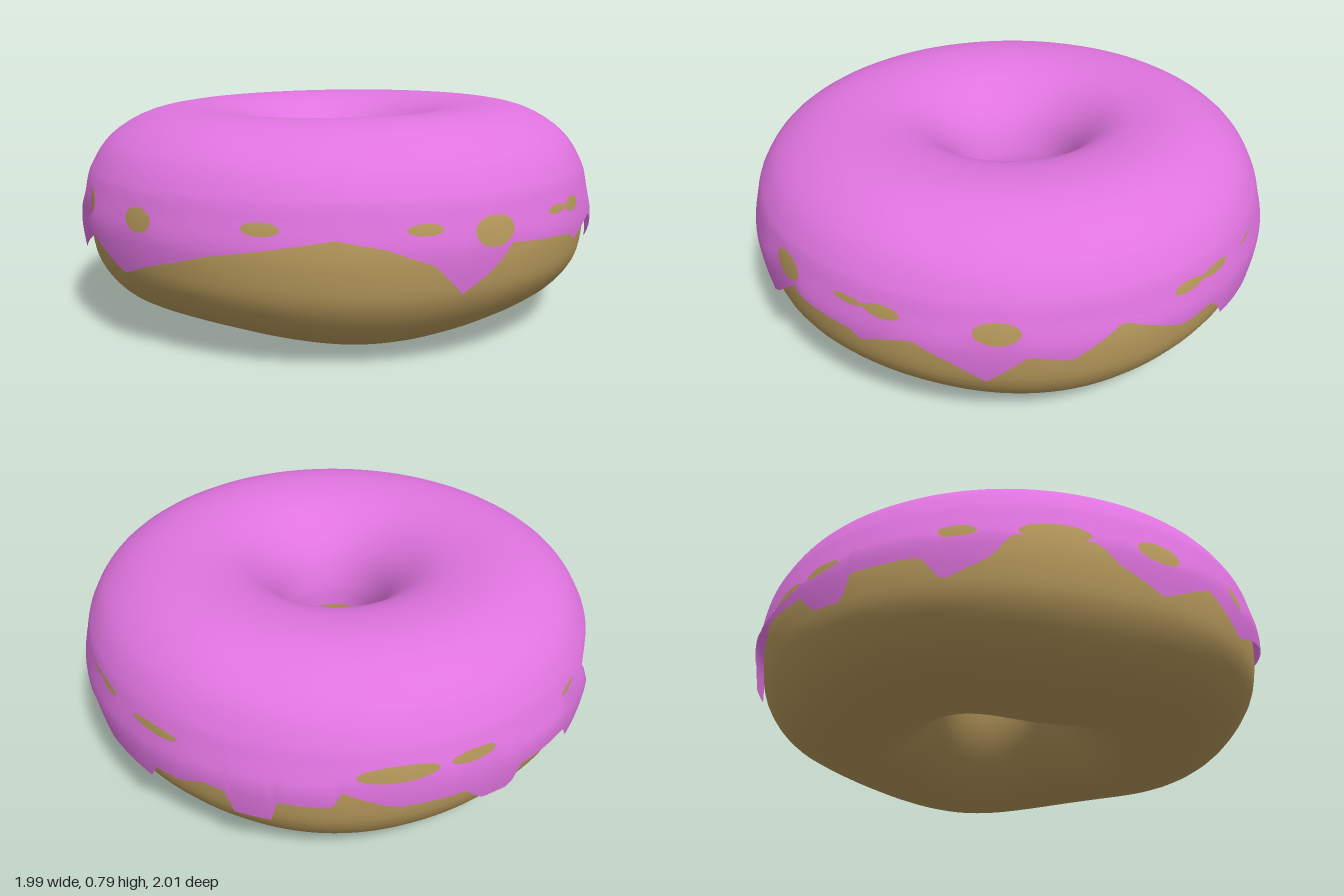
import * as THREE from 'three';

const COLS = 240;
const DEG = Math.PI / 180;

// Drip edge of the icing: [angle in degrees from the front towards +x, height]
const DRIPS = [
  [-68, .42], [-54, .46], [-45, .43], [-36, .37], [-30, .27], [-25, .32], [-18, .41], [-6, .40],
  [0, .39], [2, .36], [6, .39], [13, .42], [21, .35], [27, .28], [35, .39], [43, .36], [53, .47],
  [67, .37], [75, .39], [78, .35], [81, .28], [90, .27], [96, .26], [99, .34], [105, .34],
  [111, .38], [115.5, .37], [116.5, .28], [124.5, .28], [125.5, .37], [136, .36], [138, .42],
  [148, .35], [162, .35], [166, .28], [173.5, .27], [175.5, .36], [190, .36], [194, .27],
  [203, .34], [207.5, .44], [221, .44], [226, .35], [236, .28], [248, .37], [260, .27],
  [268, .32], [282, .39], [292, .42],
];

// Places where the dough shows through: [angle, height, half angle, half height]
const BARE = [
  [-68, .485, 4, .025], [-37, .48, 4, .02], [-22, .465, 4.5, .055], [-2, .48, 4, .016],
  [6, .48, 4, .028], [29, .465, 4.5, .045], [70, .49, 4.5, .025], [79, .49, 5, .023],
  [97, .477, 7, .02], [149, .455, 8, .032], [165, .46, 5, .025], [196, .47, 4, .025],
  [215, .465, 7, .035], [237, .465, 5, .04], [263, .47, 4, .045],
];

function dripHeight(deg) {
  if (deg > 292) deg -= 360;
  for (let k = 1; k < DRIPS.length; k++) {
    const [a0, y0] = DRIPS[k - 1], [a1, y1] = DRIPS[k];
    if (deg <= a1) return THREE.MathUtils.lerp(y0, y1, (deg - a0) / (a1 - a0));
  }
  return .42;
}

// Hand-shaped ring: the hole is off centre and oval, the base has four soft feet, the top leans
function place(r, y, a) {
  const inner = THREE.MathUtils.clamp((.97 - r) / .78, 0, 1);
  const rr = r + .013 * inner * inner * Math.cos(2 * (a - 135 * DEG));
  const low = Math.max(0, 1 - y / .35);
  const high = Math.max(0, (y - .5) / .3);
  return new THREE.Vector3(
    rr * Math.sin(a) + .025 * inner,
    y + .022 * low * Math.cos(4 * a) + .01 * high * Math.cos(a - 60 * DEG),
    rr * Math.cos(a) - .015 * inner);
}

// Sweeps rows of points round the ring; closed joins the last row to the first
function ring(rows, closed, point) {
  const pos = [], index = [];
  for (let i = 0; i < rows; i++) {
    for (let j = 0; j < COLS; j++) pos.push(...point(i, j * 360 / COLS).toArray());
  }
  for (let i = 0; i < (closed ? rows : rows - 1); i++) {
    for (let j = 0; j < COLS; j++) {
      const n = ((i + 1) % rows) * COLS, m = i * COLS, k = (j + 1) % COLS;
      index.push(m + j, n + j, n + k, m + j, n + k, m + k);
    }
  }
  const geo = new THREE.BufferGeometry();
  geo.setAttribute('position', new THREE.Float32BufferAttribute(pos, 3));
  geo.setIndex(index);
  geo.computeVertexNormals();
  return geo;
}

const curve = (pts, closed) =>
  new THREE.CatmullRomCurve3(pts.map(([r, y]) => new THREE.Vector3(r, y, 0)), closed);

function makeDough() {
  const profile = curve([
    [.968, .43], [.968, .34], [.945, .23], [.86, .12], [.73, .052], [.58, .022], [.43, .05],
    [.29, .16], [.215, .30], [.205, .42], [.28, .60], [.42, .71], [.58, .745], [.74, .72],
    [.865, .645], [.945, .54],
  ], true);
  const rows = 56;
  const pts = Array.from({ length: rows }, (_, i) => profile.getPoint(i / rows));
  return ring(rows, true, (i, deg) => place(pts[i].x, pts[i].y, deg * DEG));
}

function makeIcing() {
  // One profile from the hole, over the crown and down the skirt
  const line = curve([
    [.181, .40], [.19, .49], [.252, .635], [.39, .75], [.58, .787], [.75, .764], [.888, .68],
    [.955, .58], [.979, .50], [.996, .42], [.994, .35], [.98, .25],
  ], false).getPoints(440);
  const topRows = 29, skirtRows = 20, rows = topRows + skirtRows;
  const skirt = line.slice(280);
  const sample = (i, deg) => {
    if (i < topRows) return [line[i * 10].x, line[i * 10].y];
    const y = THREE.MathUtils.lerp(.58, dripHeight(deg), (i - topRows + 1) / skirtRows);
    // The skirt flares a little more round the back
    const flare = .012 * Math.min(1, (.58 - y) / .14) * Math.max(0, -Math.cos(deg * DEG));
    return [skirt.find((p) => p.y <= y).x + flare, y];
  };
  const geo = ring(rows, false, (i, deg) => place(...sample(i, deg), deg * DEG));

  // Sink the thin spots below the dough, keeping the smooth shading
  const pos = geo.attributes.position;
  for (let i = topRows - 2; i < rows; i++) {
    for (let j = 0; j < COLS; j++) {
      const deg = j * 360 / COLS;
      const [r, y] = sample(i, deg);
      const dent = Math.max(...BARE.map(([a0, y0, w, h]) => {
        const da = ((deg - a0 + 540) % 360) - 180;
        return 2 * (r - .963) * Math.exp(-.69 * ((da / w) ** 2 + ((y - y0) / h) ** 2));
      }));
      const p = place(r - Math.max(0, dent), y, deg * DEG);
      pos.setXYZ(i * COLS + j, p.x, p.y, p.z);
    }
  }
  return geo;
}

export function createModel() {
  const group = new THREE.Group();
  group.name = 'doughnut';
  const add = (name, geo, color) => {
    const mesh = new THREE.Mesh(geo, new THREE.MeshStandardMaterial({ color, side: THREE.DoubleSide }));
    mesh.name = name;
    group.add(mesh);
  };
  add('dough', makeDough(), 0xb89a5c);
  add('icing', makeIcing(), 0xe074e0);
  return group;
}
